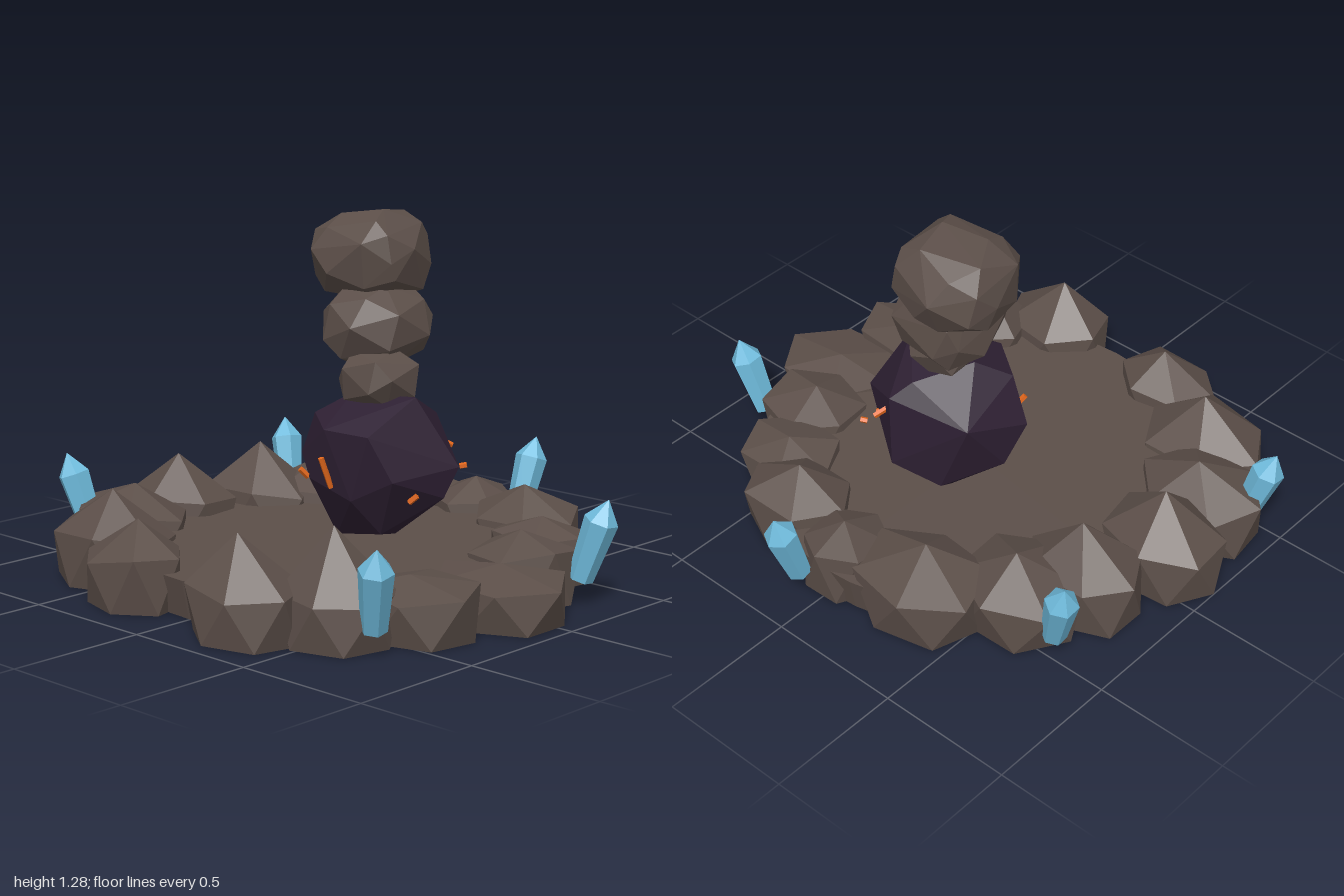
import * as THREE from 'three';
import { ConvexGeometry } from 'three/addons/geometries/ConvexGeometry.js';

const V = (x, y, z) => new THREE.Vector3(x, y, z);

function material(name, color) {
  const m = new THREE.MeshStandardMaterial({ color, flatShading: true });
  m.name = name;
  return m;
}

// Small seeded generator, values in -1..1
function seeded(seed) {
  let s = seed * 7919 + 17;
  const next = () => {
    s = (s * 16807) % 2147483647;
    return (s / 2147483647) * 2 - 1;
  };
  for (let i = 0; i < 5; i++) next();
  return next;
}

// Convex rock from points, fitted exactly into the box min..max
function rockGeometry(points, min, max) {
  const box = new THREE.Box3().setFromPoints(points);
  const scale = max.clone().sub(min).divide(box.getSize(V(0, 0, 0)));
  points.forEach((p) => p.sub(box.min).multiply(scale).add(min));
  return new ConvexGeometry(points);
}

// Flat-bottomed rim rock: base ring, shoulder ring and one peak
function rimRockGeometry([x0, x1, z0, z1, h, turn], seed) {
  const rnd = seeded(seed);
  const pts = [V(rnd() * 0.1, h, rnd() * 0.1)];
  const shoulder = Math.min(0.78 * h, 0.175);
  const n = 6;
  for (let i = 0; i < n; i++) {
    const a = turn + (i / n) * Math.PI * 2;
    const b = a + Math.PI / n;
    const k = 1 + rnd() * 0.06;
    pts.push(V(Math.cos(a) * k, shoulder * (1 + rnd() * 0.12), Math.sin(a) * k));
    pts.push(V(Math.cos(b) * 0.94, 0, Math.sin(b) * 0.94));
  }
  return rockGeometry(pts, V(x0, 0, z0), V(x1, h, z1));
}

// Faceted boulder: jittered points spread over a slightly boxy sphere
function boulderGeometry(min, max, count, seed) {
  const rnd = seeded(seed);
  const boxy = (c) => Math.sign(c) * Math.abs(c) ** 0.8;
  const pts = [];
  for (let i = 0; i < count; i++) {
    const y = 1 - (2 * (i + 0.5)) / count;
    const r = Math.sqrt(1 - y * y);
    const a = i * 2.39996 + rnd() * 0.25;
    const p = V(boxy(Math.cos(a) * r), boxy(y), boxy(Math.sin(a) * r));
    pts.push(p.multiplyScalar(1 + rnd() * 0.05));
  }
  return rockGeometry(pts, min, max);
}

export function createModel() {
  const model = new THREE.Group();
  model.name = 'craterWithCairn';

  const stone = material('greyBrownStone', 0x5c4f49);
  const dark = material('darkPurpleRock', 0x2e2033);
  const ice = material('blueCrystal', 0x6fbbdc);
  const ember = material('orangeEmber', 0xe0661c);

  const add = (name, geometry, mat, parent = model) => {
    const mesh = new THREE.Mesh(geometry, mat);
    mesh.name = name;
    parent.add(mesh);
    return mesh;
  };
  const group = (name) => {
    const g = new THREE.Group();
    g.name = name;
    model.add(g);
    return g;
  };

  // Solid raised crater floor
  add('craterFloor', new THREE.CylinderGeometry(0.8, 0.77, 0.138, 40), stone).position.y = 0.071;

  // Rim rocks: x range, z range, height, turn of the outline
  const rim = group('craterRim');
  [
    [-0.13, 0.16, -0.82, -0.5, 0.25, 0.5],
    [-0.54, -0.06, -0.81, -0.42, 0.28, 0.25],
    [0.1, 0.53, -0.75, -0.42, 0.28, 0],
    [0.32, 0.7, -0.59, -0.28, 0.22, 0.1],
    [0.45, 0.81, -0.38, -0.02, 0.24, 0.3],
    [0.5, 1, -0.13, 0.25, 0.19, 0],
    [0.42, 0.89, 0.2, 0.55, 0.2, 0.15],
    [0.32, 0.73, 0.42, 0.78, 0.38, 0.2],
    [0.08, 0.5, 0.62, 0.94, 0.35, 0.2],
    [-0.47, -0.08, 0.62, 0.92, 0.3, -0.2],
    [-0.82, -0.32, 0.42, 0.79, 0.33, 0.1],
    [-0.98, -0.49, 0.2, 0.54, 0.28, -0.1],
    [-1, -0.57, -0.09, 0.27, 0.34, 0.4],
    [-0.9, -0.45, -0.38, -0.05, 0.35, 0],
    [-0.78, -0.34, -0.62, -0.2, 0.28, 0.5],
  ].forEach((rock, i) => add(`rimRock${i + 1}`, rimRockGeometry(rock, i + 3), stone, rim));

  // Fallen dark rock resting on the floor
  add('meteorite', new ConvexGeometry([
    V(-0.06, 0.64, -0.08), V(0.22, 0.655, -0.1), V(0.05, 0.61, -0.28),
    V(-0.15, 0.57, 0.02), V(0.02, 0.55, 0.15), V(0.19, 0.54, 0.11),
    V(0.1, 0.55, -0.345), V(0.335, 0.41, -0.2), V(0.25, 0.38, 0.05),
    V(-0.235, 0.41, 0), V(-0.17, 0.48, -0.24), V(-0.08, 0.36, 0.12),
    V(0.1, 0.3, 0.1), V(0.09, 0.27, -0.35), V(-0.2, 0.26, -0.08),
    V(0.3, 0.3, -0.16), V(0.14, 0.17, -0.01), V(-0.06, 0.14, 0),
    V(0.09, 0.14, -0.14), V(-0.04, 0.14, -0.18), V(-0.06, 0.19, -0.26),
  ]), dark);

  // Stacked boulders on top: box corners, point count
  const cairn = group('stackedBoulders');
  [
    [V(-0.09, 0.6, -0.24), V(0.17, 0.81, 0.02), 18],
    [V(-0.19, 0.73, -0.335), V(0.14, 1.02, 0.02), 24],
    [V(-0.31, 0.95, -0.435), V(0.105, 1.28, -0.015), 32],
  ].forEach(([min, max, n], i) =>
    add(`boulder${i + 1}`, boulderGeometry(min, max, n, i + 11), stone, cairn));

  // Six-sided crystals leaning outward around the rim
  const crystalProfile = [
    [0, -0.145], [0.045, -0.145], [0.06, 0.075], [0, 0.155],
  ].map(([r, y]) => new THREE.Vector2(r, y));
  const crystalGeometry = new THREE.LatheGeometry(crystalProfile, 6).toNonIndexed();
  crystalGeometry.computeVertexNormals();
  const crystals = group('crystals');
  [[-0.92, 0.46], [0.75, 0.67], [0.86, -0.29], [0.09, -0.87], [-0.81, -0.5]].forEach(([x, z], i) => {
    const c = add(`crystal${i + 1}`, crystalGeometry, ice, crystals);
    c.position.set(x, 0.225, z);
    c.quaternion.setFromUnitVectors(V(0, 1, 0), V(x, 0, z).setLength(0.34).setY(1).normalize());
  });

  // Glowing slivers sticking out of the dark rock
  const embers = group('emberSlivers');
  [
    [V(0.01, 0.45, 0.155), V(0.02, 0.34, 0.115)],
    [V(-0.11, 0.39, 0.135), V(-0.095, 0.36, 0.11)],
    [V(0.28, 0.325, -0.045), V(0.255, 0.3, -0.03)],
    [V(0.24, 0.37, -0.265), V(0.22, 0.38, -0.25)],
    [V(0.17, 0.44, -0.35), V(0.135, 0.475, -0.29)],
    [V(0.245, 0.38, -0.345), V(0.225, 0.375, -0.33)],
  ].forEach(([a, b], i) => {
    const d = b.clone().sub(a);
    const e = add(`sliver${i + 1}`, new THREE.CylinderGeometry(0.011, 0.011, d.length(), 5), ember, embers);
    e.position.copy(a).add(b).multiplyScalar(0.5);
    e.quaternion.setFromUnitVectors(V(0, 1, 0), d.normalize());
  });

  return model;
}
